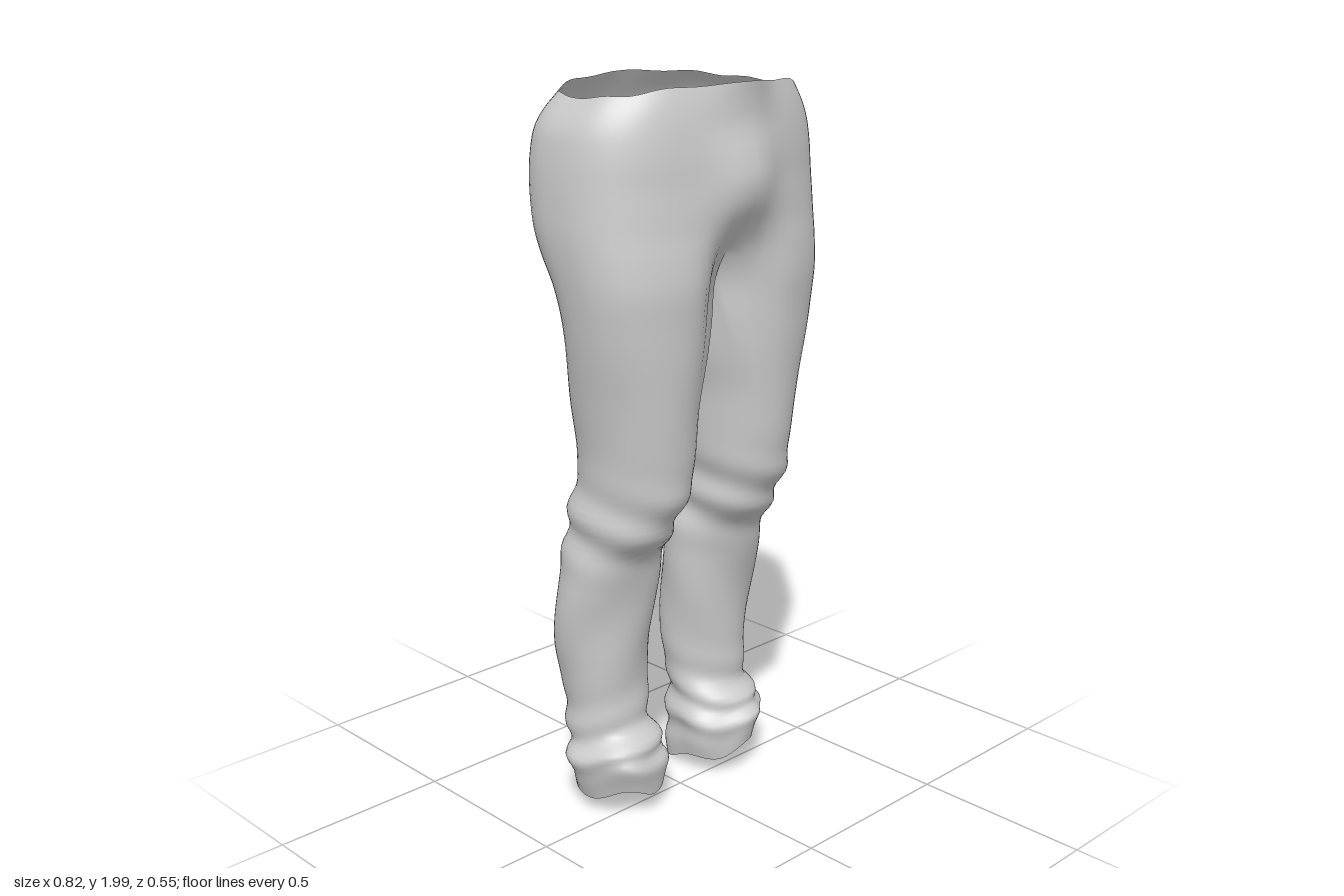
import * as THREE from 'three';
import { mergeVertices, mergeGeometries } from 'three/addons/utils/BufferGeometryUtils.js';

const OUT = 36, IN = 16;              // segments on the outer and inner arc of a leg
const CROTCH = 1.58, TOP = 2;         // height where the halves join, and the waist
const ALPHA = 0.2 * Math.PI;
const { lerp, smoothstep } = THREE.MathUtils;
const bell = (v, mid, width) => Math.exp(-(((v - mid) / width) ** 2));

// Smooth lookup in a table of rows [y, ...values]
function table(rows) {
  const curve = new THREE.CubicInterpolant(
    rows.map(r => r[0]), rows.flatMap(r => r.slice(1)), rows[0].length - 1);
  return y => [...curve.evaluate(y)];
}

// Leg: y, inner x, outer x, back z, front z
const legAt = table([
  [0, .075, .29, -.2, .075], [.06, .065, .31, -.195, .085], [.12, .062, .33, -.19, .085],
  [.2, .07, .315, -.2, .06], [.27, .085, .303, -.212, .025], [.35, .075, .31, -.22, .015],
  [.5, .06, .335, -.22, .02], [.65, .055, .34, -.21, .045], [.78, .055, .335, -.185, .08],
  [.84, .062, .328, -.178, .125], [.92, .06, .322, -.165, .168], [1, .048, .318, -.152, .185],
  [1.2, .03, .345, -.155, .205], [1.4, .008, .38, -.16, .235], [1.58, .004, .405, -.2, .25],
]);

// Hips: y, half width, back z, front z, back z at the seam, front z at the seam
const hipAt = table([
  [1.15, .34, -.155, .2, -.1, .1], [1.4, .38, -.16, .235, -.11, .12],
  [1.5, .395, -.19, .25, -.12, .13], [1.58, .405, -.235, .248, -.14, .17],
  [1.64, .41, -.258, .24, -.195, .22], [1.7, .41, -.27, .235, -.235, .262],
  [1.76, .408, -.275, .23, -.257, .278], [1.82, .403, -.275, .228, -.267, .268],
  [1.9, .388, -.262, .22, -.257, .245], [1.96, .365, -.235, .21, -.23, .245],
  [2, .34, -.205, .2, -.21, .25],
]);

// Point u (0 front seam to 1 back seam) on the outer arc of the hips
function hipPoint(y, u) {
  const [w, back, front, seamBack, seamFront] = hipAt(y);
  const a = u * Math.PI, c = Math.cos(a), mid = (back + front) / 2;
  const x = u === 0 || u === 1 ? 0 : w * Math.sin(a) ** 0.85;
  const seam = bell(x, 0, .095) * (c > 0 ? seamFront - front : seamBack - back);
  const z = mid + (front - back) / 2 * Math.sign(c) * Math.abs(c) ** 0.8 + seam * Math.min(1, Math.abs(c) * 1.5);
  // the waistband edge dips at the sides and waves slightly
  const rim = smoothstep(y, 1.85, TOP);
  return [x, y - rim * (.03 * Math.sin(a) ** 2 + .006 * Math.sin(a * 5) ** 2), z];
}

// Point on the leg tube at angle a (0 front, PI/2 outside), with cloth folds
function legPoint(y, a, side) {
  const [xin, xout, back, front] = legAt(y);
  const fold = .011 * bell(y, .86, .1) * Math.sin(46 * y + side * 1.3 * Math.sin(a) + 1.5 * Math.cos(a))
    + .01 * bell(y, .2, .11) * Math.sin(52 * y + 2 * Math.sin(a + side) + side)
    + .007 * bell(y, .08, .1) * Math.sin(5 * a + side)
    + .004 * bell(y, .55, .45) * Math.sin(17 * y + 3 * a + side);
  const x = (xin + xout) / 2 + ((xout - xin) / 2 + fold) * Math.sin(a);
  const z = (back + front) / 2 + ((front - back) / 2 + fold) * Math.cos(a);
  // the hem rises to the front and the outside
  const hem = 1 - smoothstep(y, 0, .3);
  const lift = .22 * (z + .2) + (side > 0 ? .17 : .1) * (x - .07) + .012 * Math.sin(4 * a + side) + .01;
  return [x, y + hem * Math.max(0, lift), z];
}

// One full ring around a leg, changing into half of the hips at the crotch
function legRing(y, side) {
  const s = smoothstep(y, 1.15, CROTCH), ring = [];
  const [, , , seamBack, seamFront] = hipAt(Math.max(y, 1.15));
  for (let j = 0; j < OUT + IN; j++) {
    const outer = j <= OUT, u = outer ? j / OUT : (j - OUT) / IN;
    const a = outer ? lerp(-ALPHA, Math.PI + ALPHA, u) : lerp(Math.PI + ALPHA, 2 * Math.PI - ALPHA, u);
    const p = legPoint(y, a, side);
    const q = outer ? hipPoint(Math.max(y, 1.15), u) : [0, y, lerp(seamBack, seamFront, u)];
    const sag = outer ? 0 : .14 * s * Math.sin(Math.PI * u);
    ring.push([lerp(p[0], q[0], s), (s > 0 ? y : p[1]) - sag, lerp(p[2], q[2], s)]);
  }
  return ring;
}

// Skin a stack of rings; side -1 mirrors it
function loft(rings, closed, side) {
  const n = rings[0].length, index = [];
  const position = rings.flat().flatMap(([x, y, z]) => [x * side, y, z]);
  for (let i = 0; i < rings.length - 1; i++) {
    for (let j = 0; j < (closed ? n : n - 1); j++) {
      const k = (j + 1) % n;
      const a = i * n + j, b = i * n + k, c = a + n, d = b + n;
      if (side > 0) index.push(a, b, c, b, d, c);
      else index.push(a, c, b, b, c, d);
    }
  }
  const g = new THREE.BufferGeometry();
  g.setAttribute('position', new THREE.Float32BufferAttribute(position, 3));
  g.setIndex(index);
  return g;
}

export function createModel() {
  const parts = [];
  for (const side of [1, -1]) {
    // leg from hem to crotch
    const leg = [];
    for (let i = 0; i <= 80; i++) leg.push(legRing(CROTCH * i / 80, side));
    parts.push(loft(leg, true, side));
    // half of the hips from crotch to waist
    const hips = [];
    for (let i = 0; i <= 22; i++) {
      const y = lerp(CROTCH, TOP, i / 22);
      hips.push(Array.from({ length: OUT + 1 }, (_, j) => hipPoint(y, j / OUT)));
    }
    parts.push(loft(hips, false, side));
  }
  // weld the halves so the shading runs across the seams
  const geometry = mergeVertices(mergeGeometries(parts), 1e-4);
  geometry.computeVertexNormals();
  const trousers = new THREE.Mesh(geometry,
    new THREE.MeshStandardMaterial({ color: 0xcccccc, side: THREE.DoubleSide }));
  trousers.name = 'trousers';
  const group = new THREE.Group();
  group.name = 'trousersModel';
  group.add(trousers);
  return group;
}
